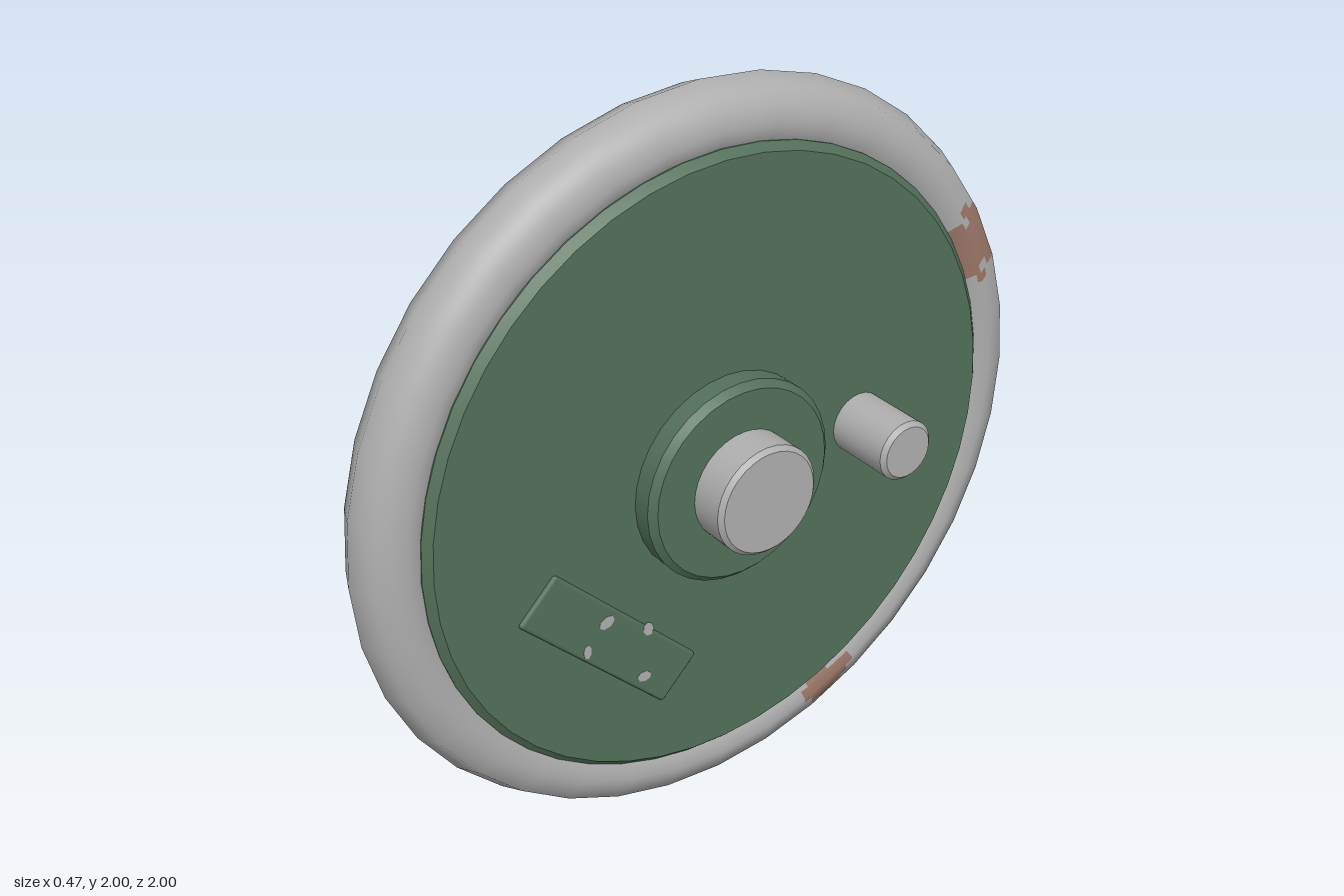
import * as THREE from 'three';
import { toCreasedNormals } from 'three/addons/utils/BufferGeometryUtils.js';
import { RoundedBoxGeometry } from 'three/addons/geometries/RoundedBoxGeometry.js';

const rad = THREE.MathUtils.degToRad;

// Chamfered solid disc running along x from x0 to x1
function disc(name, x0, x1, r, bevel, material, y = 1, z = 0, sides = 32) {
  const profile = [[0, x0], [r - bevel, x0], [r, x0 + bevel], [r, x1 - bevel], [r - bevel, x1], [0, x1]]
    .map(([px, py]) => new THREE.Vector2(px, py));
  const geometry = new THREE.LatheGeometry(profile, sides).rotateZ(-Math.PI / 2);
  const mesh = new THREE.Mesh(toCreasedNormals(geometry, 0.5), material);
  mesh.name = name;
  mesh.position.set(0, y, z);
  return mesh;
}

// Rust patches: angle round the wheel, angle round the tube, and half sizes, in degrees
const patches = [
  { a: 26, b: 0, ha: 6, hb: 1e6 },
  { a: -66, b: 82, ha: 5, hb: 34 },
  { a: -11, b: 0, ha: 3.5, hb: 38 },
  { a: -83, b: -112, ha: 2.5, hb: 22 },
];

function isRust(a, b) {
  const ragged = 0.18 * Math.sin(a * 1.9 + b * 0.11) + 0.2 * Math.sin(b * 0.09 - a * 0.7);
  return patches.some(p => Math.hypot((a - p.a) / p.ha, (b - p.b) / p.hb) < 1 + ragged);
}

// Faceted ring, each facet subdivided so the rust can have ragged borders
function rimGeometry() {
  const segs = 36, sides = 8, sub = 6;
  const nA = segs * sub, nB = sides * sub;
  const positions = [], normals = [], steel = [], rust = [];
  const corner = (i, j) => {
    const a = i / segs * Math.PI * 2, b = j / sides * Math.PI * 2 - Math.PI;
    const r = 0.9 + 0.1 * Math.cos(b);
    return new THREE.Vector3(-0.07 + 0.1 * Math.sin(b), 1 + r * Math.sin(a), -r * Math.cos(a));
  };
  for (let i = 0; i <= nA; i++) {
    for (let j = 0; j <= nB; j++) {
      const ci = Math.floor(i / sub), cj = Math.floor(j / sub);
      const u = i / sub - ci, v = j / sub - cj;
      const low = corner(ci, cj).lerp(corner(ci + 1, cj), u);
      const high = corner(ci, cj + 1).lerp(corner(ci + 1, cj + 1), u);
      positions.push(...low.lerp(high, v).toArray());
      const a = i / nA * Math.PI * 2, b = j / nB * Math.PI * 2 - Math.PI;
      normals.push(Math.sin(b), Math.cos(b) * Math.sin(a), -Math.cos(b) * Math.cos(a));
    }
  }
  for (let i = 0; i < nA; i++) {
    for (let j = 0; j < nB; j++) {
      let a = (i + 0.5) / nA * 360;
      if (a > 180) a -= 360;
      const b = (j + 0.5) / nB * 360 - 180;
      const p = i * (nB + 1) + j, q = p + nB + 1;
      (isRust(a, b) ? rust : steel).push(p, q, q + 1, p, q + 1, p + 1);
    }
  }
  const geometry = new THREE.BufferGeometry();
  geometry.setAttribute('position', new THREE.Float32BufferAttribute(positions, 3));
  geometry.setAttribute('normal', new THREE.Float32BufferAttribute(normals, 3));
  geometry.setIndex([...steel, ...rust]);
  geometry.addGroup(0, steel.length, 0);
  geometry.addGroup(steel.length, rust.length, 1);
  return geometry;
}

export function createModel() {
  const material = (name, color) => {
    const m = new THREE.MeshStandardMaterial({ color });
    m.name = name;
    return m;
  };
  const steel = material('bareSteel', 0xaeaeae);
  const green = material('greenPaint', 0x527059);
  const rust = material('rust', 0x9c7768);

  const group = new THREE.Group();
  group.name = 'handwheel';

  // Rim with rust patches
  const rim = new THREE.Mesh(rimGeometry(), [steel, rust]);
  rim.name = 'rim';
  group.add(rim);

  // Web, hub, axle end and crank handle
  group.add(
    disc('webDisc', -0.175, 0.036, 0.857, 0.02, green, 1, 0, 48),
    disc('hub', -0.237, 0.106, 0.278, 0.018, green),
    disc('axleEnd', 0.08, 0.212, 0.15, 0.012, steel),
    disc('crankHandle', 0, 0.233, 0.083, 0.012, steel, 1, -0.43, 24),
  );

  // Raised plate set diagonally on the web
  const plate = new THREE.Mesh(new RoundedBoxGeometry(0.024, 0.154, 0.585, 2, 0.01), green);
  plate.name = 'plate';
  plate.position.set(0.034, 0.64, 0.365);
  plate.rotation.x = -Math.PI / 4;
  group.add(plate);

  // Small chips in the plate's paint: y, z, width, height, turn
  [[0.705, 0.378, 0.024, 0.018, 20], [0.64, 0.438, 0.012, 0.022, 0],
   [0.633, 0.254, 0.016, 0.022, 15], [0.49, 0.27, 0.022, 0.016, -15]].forEach(([y, z, w, h, turn]) => {
    const chip = new THREE.Mesh(new THREE.CylinderGeometry(1, 1, 0.002, 7).rotateZ(-Math.PI / 2), steel);
    chip.name = 'paintChip';
    chip.scale.set(1, h, w);
    chip.rotation.x = rad(turn);
    chip.position.set(0.046, y, z);
    group.add(chip);
  });

  return group;
}
